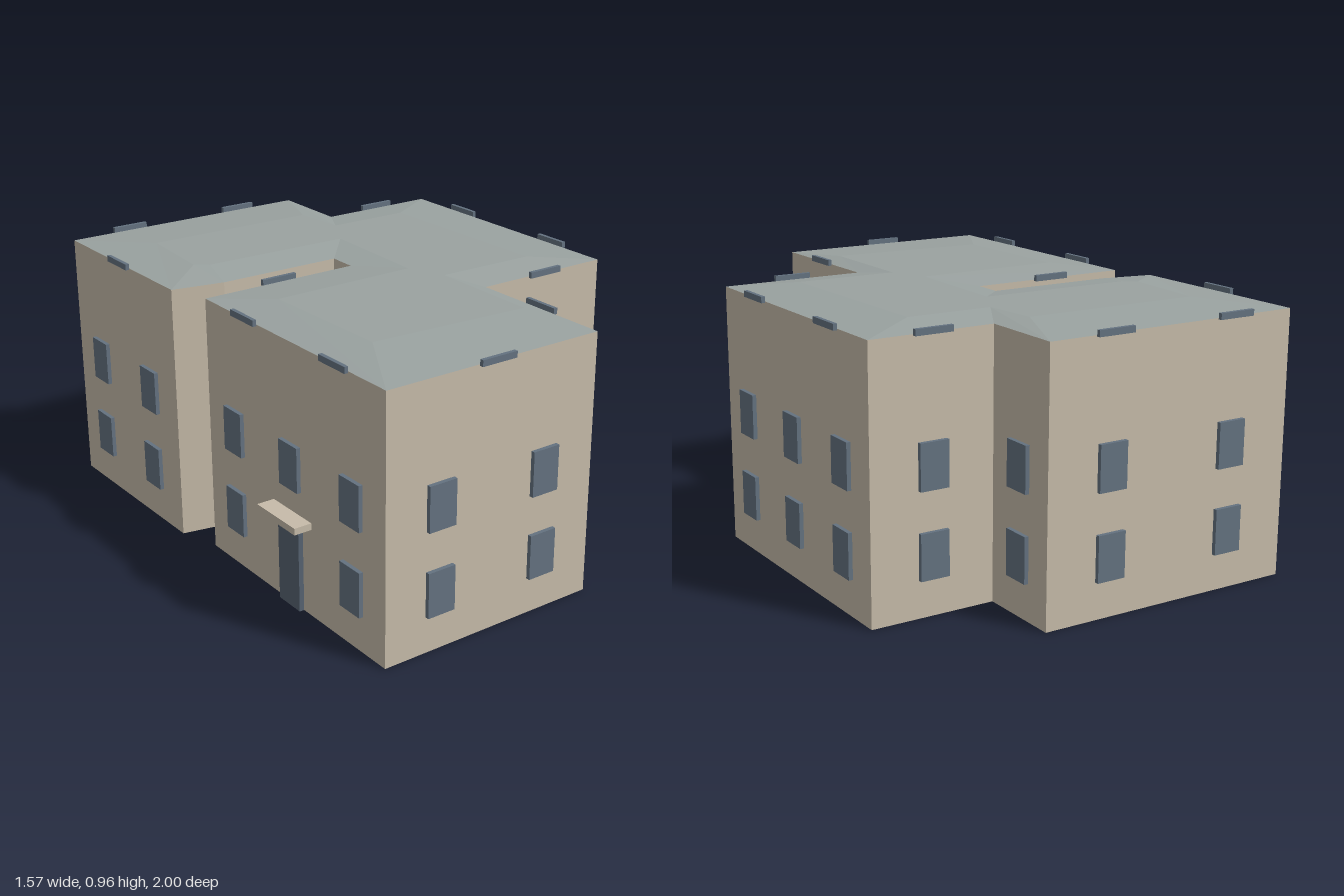
import * as THREE from 'three';

const WALL_TOP = 0.938, ROOF_TOP = 0.955;

// Footprint corners [x, z], clockwise seen from above
const plan = [
  [-0.785, -0.895], [0.18, -1.0], [0.212, -0.692], [0.665, -0.742], [0.78, 0.29],
  [0.25, 0.35], [0.31, 0.9], [-0.53, 0.995], [-0.64, -0.022], [-0.035, -0.095],
  [-0.045, -0.2], [-0.51, -0.15], [-0.703, -0.165],
];
// Matching corners of the shallow roof's raised centre
const ridge = [
  [-0.55, -0.655], [0.1, -0.72], [0.14, -0.525], [0.45, -0.555], [0.545, 0.175],
  [0.17, 0.21], [0.21, 0.635], [-0.385, 0.665], [-0.45, 0.15], [0.1, 0.08],
  [0.07, -0.36], [-0.49, -0.31], [-0.54, -0.34],
];
// Window columns and eaves bars per wall, by index of the wall's first corner
const openings = [
  { wall: 0, columns: 2, bars: 2 },
  { wall: 1, columns: 1, bars: 0 },
  { wall: 2, columns: 1, bars: 1 },
  { wall: 3, columns: 3, bars: 2 },
  { wall: 4, columns: 1, bars: 1 },
  { wall: 5, columns: 1, bars: 1 },
  { wall: 6, columns: 2, bars: 1 },
  { wall: 7, columns: 3, bars: 2, door: true },
  { wall: 8, columns: 1, bars: 1 },
  { wall: 12, columns: 2, bars: 1 },
];

const toShape = (pts) => new THREE.Shape(pts.map(([x, z]) => new THREE.Vector2(x, -z)));

export function createModel() {
  const wallMat = new THREE.MeshStandardMaterial({ color: 0xc6bba9 });
  wallMat.name = 'beige wall';
  const roofMat = new THREE.MeshStandardMaterial({ color: 0x9aa2a0 });
  roofMat.name = 'grey roof';
  const glassMat = new THREE.MeshStandardMaterial({ color: 0x647280 });
  glassMat.name = 'blue grey glass';
  const doorMat = new THREE.MeshStandardMaterial({ color: 0x566270 });
  doorMat.name = 'dark door';

  const model = new THREE.Group();
  model.name = 'building';
  const add = (parent, name, geo, mat) => {
    const mesh = new THREE.Mesh(geo, mat);
    mesh.name = name;
    parent.add(mesh);
    return mesh;
  };

  // Walls: the footprint pulled straight up
  const walls = new THREE.ExtrudeGeometry(toShape(plan), { depth: WALL_TOP, bevelEnabled: false });
  add(model, 'walls', walls.rotateX(-Math.PI / 2), wallMat);

  // Roof: sloping strip around a flat centre
  const roof = new THREE.Group();
  roof.name = 'roof';
  model.add(roof);
  const pos = [];
  plan.forEach((p, i) => {
    const j = (i + 1) % plan.length;
    const a = [p[0], WALL_TOP, p[1]], b = [plan[j][0], WALL_TOP, plan[j][1]];
    const c = [ridge[j][0], ROOF_TOP, ridge[j][1]], d = [ridge[i][0], ROOF_TOP, ridge[i][1]];
    pos.push(...a, ...d, ...c, ...a, ...c, ...b);
  });
  const slopes = new THREE.BufferGeometry();
  slopes.setAttribute('position', new THREE.Float32BufferAttribute(pos, 3));
  slopes.computeVertexNormals();
  add(roof, 'roofSlopes', slopes, roofMat);
  const cap = new THREE.ShapeGeometry(toShape(ridge)).rotateX(-Math.PI / 2);
  add(roof, 'roofCentre', cap.translate(0, ROOF_TOP, 0), roofMat);

  const windowGeo = new THREE.BoxGeometry(0.106, 0.16, 0.02);
  const barGeo = new THREE.BoxGeometry(0.138, 0.022, 0.014);

  // Each wall gets a group whose x runs along the wall and z points outwards
  for (const { wall, columns, bars, door } of openings) {
    const [ax, az] = plan[wall], [bx, bz] = plan[(wall + 1) % plan.length];
    const length = Math.hypot(bx - ax, bz - az);
    const side = new THREE.Group();
    side.name = 'wallDetails' + wall;
    side.position.set((ax + bx) / 2, 0, (az + bz) / 2);
    side.rotation.y = Math.atan2(bz - az, ax - bx);
    model.add(side);
    const along = (i, n) => ((i + 0.5) / n - 0.5) * length;

    for (let i = 0; i < columns; i++) {
      for (const y of [0.21, 0.51]) {
        if (door && i === 1 && y < 0.3) continue;
        add(side, 'window', windowGeo, glassMat).position.set(along(i, columns), y, 0.005);
      }
    }
    for (let i = 0; i < bars; i++) {
      add(side, 'eavesBar', barGeo, glassMat).position.set(along(i, bars), 0.945, 0.009);
    }
    // Entrance with a flat canopy
    if (door) {
      add(side, 'door', new THREE.BoxGeometry(0.12, 0.3, 0.03), doorMat).position.set(0, 0.15, 0.003);
      add(side, 'canopy', new THREE.BoxGeometry(0.222, 0.024, 0.07), wallMat).position.set(0, 0.332, 0.031);
    }
  }
  return model;
}
